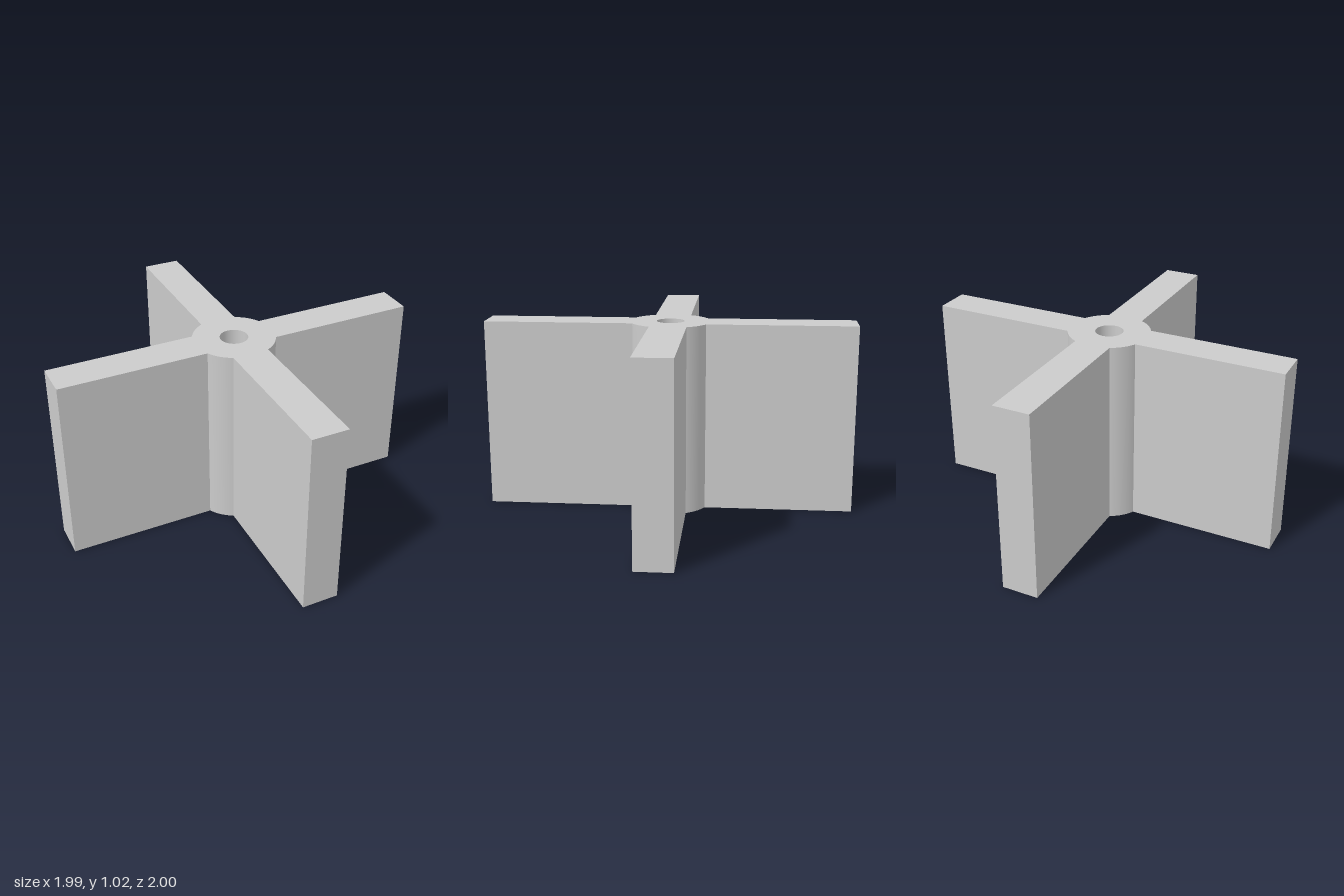
import * as THREE from 'three';

const H = 1.025;        // height
const W = 0.0985;       // half thickness of a fin
const R = 0.22;         // hub radius
const BORE = 0.075;     // bore radius
const LX = 0.995, LZ = 1; // fin reach along x and z
const A = Math.asin(W / R);
const INNER = R * Math.cos(A); // where a fin meets the hub

export function createModel() {
  const group = new THREE.Group();
  const mat = new THREE.MeshStandardMaterial({ color: 0xcccccc, side: THREE.DoubleSide });
  const add = (name, geo, parent = group) => {
    const mesh = new THREE.Mesh(geo, mat);
    mesh.name = name;
    parent.add(mesh);
    return mesh;
  };

  // Top plate: cross outline with rounded hub and a round bore
  const shape = new THREE.Shape();
  for (let i = 0; i < 4; i++) {
    const a = i * Math.PI / 2, c = Math.cos(a), s = Math.sin(a);
    const reach = i % 2 ? LZ : LX;
    for (const [u, v] of [[reach, -W], [reach, W]]) {
      const x = u * c - v * s, y = u * s + v * c;
      if (i === 0 && v < 0) shape.moveTo(x, y);
      else shape.lineTo(x, y);
    }
    shape.absarc(0, 0, R, a + A, a + Math.PI / 2 - A, false);
  }
  shape.closePath();
  const hole = new THREE.Path();
  hole.absarc(0, 0, BORE, 0, Math.PI * 2, true);
  shape.holes.push(hole);
  add('topPlate', new THREE.ShapeGeometry(shape, 24).rotateX(-Math.PI / 2).translate(0, H, 0));

  // Four hollow fins, open underneath, with a hub wall between neighbours
  for (let i = 0; i < 4; i++) {
    const reach = i % 2 ? LZ : LX;
    const len = reach - INNER, mid = (reach + INNER) / 2;
    const fin = new THREE.Group();
    fin.name = 'fin' + (i + 1);
    fin.rotation.y = i * Math.PI / 2;
    add('finSide', new THREE.PlaneGeometry(len, H).translate(mid, H / 2, W), fin);
    add('finSide', new THREE.PlaneGeometry(len, H).rotateY(Math.PI).translate(mid, H / 2, -W), fin);
    add('finEnd', new THREE.PlaneGeometry(2 * W, H).rotateY(Math.PI / 2).translate(reach, H / 2, 0), fin);
    add('hubWall', new THREE.CylinderGeometry(R, R, H, 24, 1, true, A, Math.PI / 2 - 2 * A).translate(0, H / 2, 0), fin);
    group.add(fin);
  }

  // Bore wall, facing the axis
  const profile = [new THREE.Vector2(BORE, H), new THREE.Vector2(BORE, 0)];
  add('bore', new THREE.LatheGeometry(profile, 48));

  return group;
}
